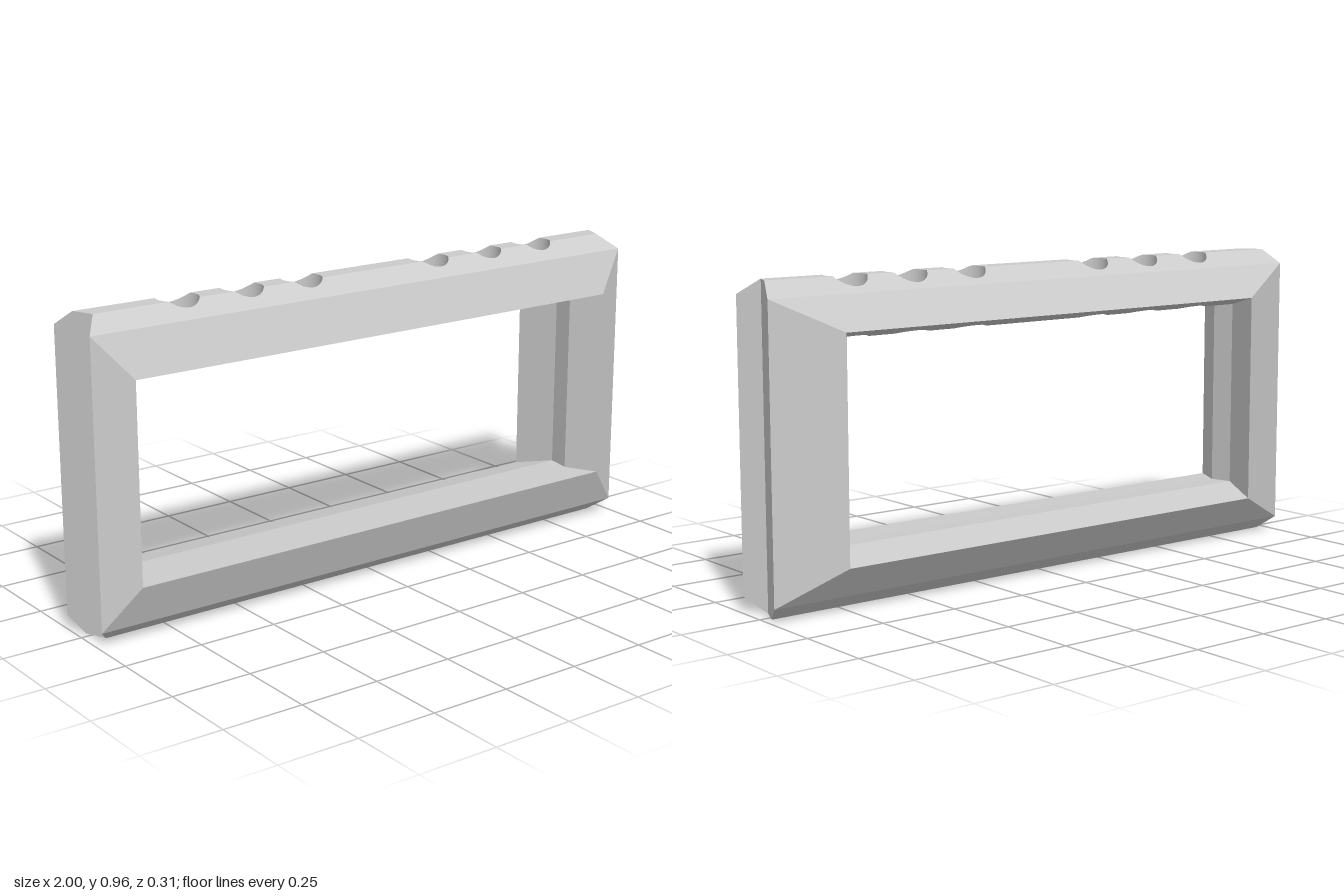
import * as THREE from 'three';

// Frame section: [z, half width, half height], outside front to back, then inside back to front
const SECTION = [
  [0.155, 0.88, 0.305], [0.105, 0.99, 0.435], [0.045, 0.945, 0.48], [-0.02, 0.973, 0.48],
  [-0.08, 1.0, 0.435], [-0.153, 0.793, 0.335], [-0.02, 0.838, 0.302], [0.055, 0.827, 0.304],
];
const MID_Y = 0.48;
const HOLE_XS = [-0.65, -0.43, -0.22, 0.265, 0.48, 0.69];
const HOLE_R = 0.064, HOLE_Z = 0.006, HOLE_SIDES = 32;

// Point on section segment i at depth z
function along(i, z) {
  const a = SECTION[i], b = SECTION[(i + 1) % SECTION.length];
  const t = (z - a[0]) / (b[0] - a[0]);
  return { x: a[1] + (b[1] - a[1]) * t, y: MID_Y + a[2] + (b[2] - a[2]) * t };
}

// Height of the top bar's upper or lower surface at depth z
function heightAt(segments, z) {
  const i = segments.find((s) => {
    const a = SECTION[s][0], b = SECTION[(s + 1) % SECTION.length][0];
    return z >= Math.min(a, b) - 1e-6 && z <= Math.max(a, b) + 1e-6;
  });
  return along(i, z).y;
}
const UPPER = [1, 2, 3], LOWER = [5, 6, 7];

function flatMesh(name, quads, material) {
  const pos = [];
  for (const [a, b, c, d] of quads) pos.push(...a, ...b, ...c, ...a, ...c, ...d);
  const geo = new THREE.BufferGeometry();
  geo.setAttribute('position', new THREE.Float32BufferAttribute(pos, 3));
  geo.computeVertexNormals();
  const mesh = new THREE.Mesh(geo, material);
  mesh.name = name;
  return mesh;
}

// One mitred side of the frame between two corners, given as signs
function barQuads([ax, ay], [bx, by], skip = []) {
  const at = (i, sx, sy) => {
    const [z, w, h] = SECTION[i % SECTION.length];
    return [sx * w, MID_Y + sy * h, z];
  };
  const quads = [];
  for (let i = 0; i < SECTION.length; i++) {
    if (skip.includes(i)) continue;
    quads.push([at(i, ax, ay), at(i + 1, ax, ay), at(i + 1, bx, by), at(i, bx, by)]);
  }
  return quads;
}

// Surface of the top bar on one segment, left open around the round holes
function drilledQuads(i) {
  const z0 = SECTION[i][0], z1 = SECTION[(i + 1) % SECTION.length][0];
  const lo = Math.min(z0, z1), hi = Math.max(z0, z1);
  const rows = [lo, hi];
  for (let k = 0; k <= HOLE_SIDES / 2; k++) {
    const z = HOLE_Z + HOLE_R * Math.cos((k * 2 * Math.PI) / HOLE_SIDES);
    if (z > lo + 1e-5 && z < hi - 1e-5) rows.push(z);
  }
  rows.sort((a, b) => (z1 > z0 ? a - b : b - a));
  const half = (z) => Math.sqrt(Math.max(0, HOLE_R ** 2 - (z - HOLE_Z) ** 2));
  const quads = [];
  for (let c = 0; c <= HOLE_XS.length; c++) {
    const left = (z) => (c === 0 ? -along(i, z).x : HOLE_XS[c - 1] + half(z));
    const right = (z) => (c === HOLE_XS.length ? along(i, z).x : HOLE_XS[c] - half(z));
    for (let r = 0; r + 1 < rows.length; r++) {
      const p = rows[r], q = rows[r + 1];
      const yp = along(i, p).y, yq = along(i, q).y;
      quads.push([[right(p), yp, p], [right(q), yq, q], [left(q), yq, q], [left(p), yp, p]]);
    }
  }
  return quads;
}

// Round wall of a hole, its rims following the bar's surfaces
function holeWall(x, material) {
  const geo = new THREE.CylinderGeometry(HOLE_R, HOLE_R, 1, HOLE_SIDES, 1, true);
  const p = geo.attributes.position;
  for (let k = 0; k < p.count; k++) {
    const z = p.getZ(k) + HOLE_Z;
    p.setXYZ(k, p.getX(k) + x, heightAt(p.getY(k) > 0 ? UPPER : LOWER, z), z);
  }
  const mesh = new THREE.Mesh(geo, material);
  mesh.name = 'holeWall';
  return mesh;
}

export function createModel() {
  const group = new THREE.Group();
  group.name = 'frame';
  const grey = new THREE.MeshStandardMaterial({ color: 0xcccccc, flatShading: true });
  const inside = new THREE.MeshStandardMaterial({ color: 0xcccccc, side: THREE.BackSide });

  // Plain bars
  const corners = [[1, 1], [-1, 1], [-1, -1], [1, -1]];
  ['rightBar', 'bottomBar', 'leftBar'].forEach((name, k) => {
    group.add(flatMesh(name, barQuads(corners[k + 1], corners[(k + 2) % 4]), grey));
  });

  // Top bar with its row of holes
  const drilled = [...UPPER, ...LOWER];
  const top = barQuads(corners[0], corners[1], drilled);
  for (const i of drilled) top.push(...drilledQuads(i));
  group.add(flatMesh('topBar', top, grey));
  for (const x of HOLE_XS) group.add(holeWall(x, inside));
  return group;
}
